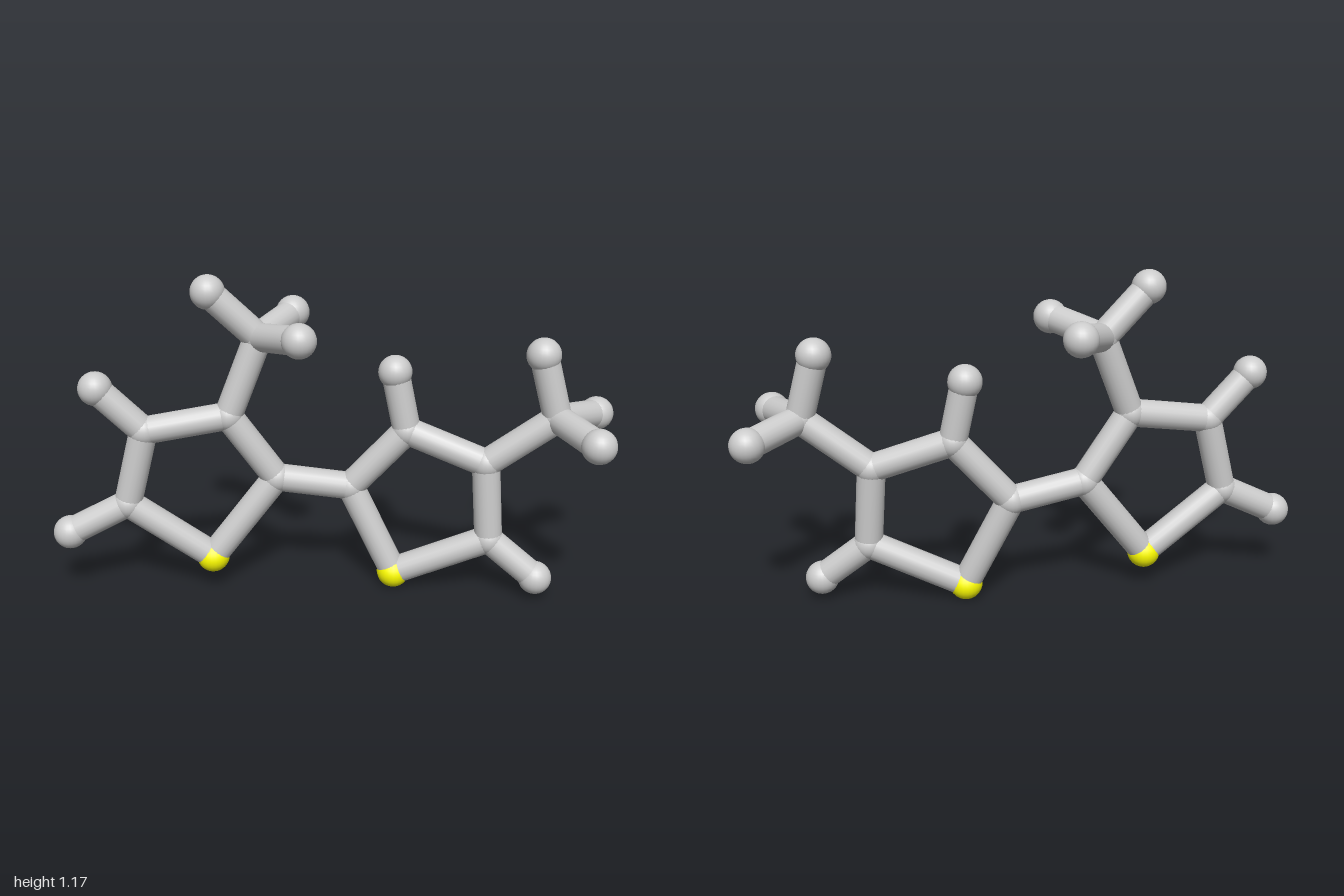
import * as THREE from 'three';

const BALL = 0.06, JOINT = 0.055, ROD = 0.05;

// Atom centres: c = ring or methyl joint, s = sulphur, h = hydrogen end
const atoms = {
  leftRing: {
    s1: [-0.44, 0.13, -0.005], c2: [-0.205, 0.43, -0.04], c3: [-0.37, 0.67, -0.02],
    c4: [-0.665, 0.625, 0.015], c5: [-0.735, 0.35, 0.025], c6: [-0.26, 0.95, -0.045],
    h4: [-0.82, 0.785, 0.032], h5: [-0.945, 0.245, 0.047],
    hA: [-0.425, 1.115, -0.016], hB: [-0.11, 0.99, 0.135], hC: [-0.15, 0.99, -0.232],
  },
  rightRing: {
    s1: [0.22, 0.06, -0.033], c2: [0.06, 0.385, -0.07], c3: [0.26, 0.605, -0.06],
    c4: [0.54, 0.505, -0.005], c5: [0.56, 0.215, 0.01], c6: [0.775, 0.685, 0.022],
    h3: [0.215, 0.82, -0.07], h5: [0.73, 0.08, 0.046],
    hA: [0.715, 0.91, 0.011], hB: [0.94, 0.65, -0.135], hC: [0.88, 0.665, 0.231],
  },
};

const ring = ['s1 c2', 'c2 c3', 'c3 c4', 'c4 c5', 'c5 s1'];
const methyl = ['c6 hA', 'c6 hB', 'c6 hC'];
const bonds = {
  leftRing: [...ring, 'c3 c6', 'c4 h4', 'c5 h5', ...methyl],
  rightRing: [...ring, 'c4 c6', 'c3 h3', 'c5 h5', ...methyl],
};

export function createModel() {
  const model = new THREE.Group();
  const grey = new THREE.MeshStandardMaterial({ color: 0xcccccc });
  const yellow = new THREE.MeshStandardMaterial({ color: 0xffff00 });
  const ballGeo = new THREE.SphereGeometry(1, 24, 16);
  const rodGeo = new THREE.CylinderGeometry(ROD, ROD, 1, 20);
  const up = new THREE.Vector3(0, 1, 0);

  function ball(parent, name, p, radius, material) {
    const mesh = new THREE.Mesh(ballGeo, material);
    mesh.name = name;
    mesh.position.set(...p);
    mesh.scale.setScalar(radius);
    parent.add(mesh);
  }

  // Rod spanning two atom centres
  function rod(parent, name, p, q) {
    const a = new THREE.Vector3(...p), b = new THREE.Vector3(...q);
    const dir = b.clone().sub(a);
    const mesh = new THREE.Mesh(rodGeo, grey);
    mesh.name = name;
    mesh.scale.y = dir.length();
    mesh.position.copy(a).add(b).multiplyScalar(0.5);
    mesh.quaternion.setFromUnitVectors(up, dir.normalize());
    parent.add(mesh);
  }

  for (const [half, centres] of Object.entries(atoms)) {
    const group = new THREE.Group();
    group.name = half;
    for (const [key, p] of Object.entries(centres)) {
      if (key[0] === 's') ball(group, 'sulphurBall', p, BALL, yellow);
      else if (key[0] === 'h') ball(group, 'hydrogenBall', p, BALL, grey);
      else ball(group, 'carbonJoint', p, JOINT, grey);
    }
    for (const pair of bonds[half]) {
      const [a, b] = pair.split(' ');
      rod(group, 'bond', centres[a], centres[b]);
    }
    model.add(group);
  }

  // Bond joining the two rings
  rod(model, 'bridgeBond', atoms.leftRing.c2, atoms.rightRing.c2);
  return model;
}
